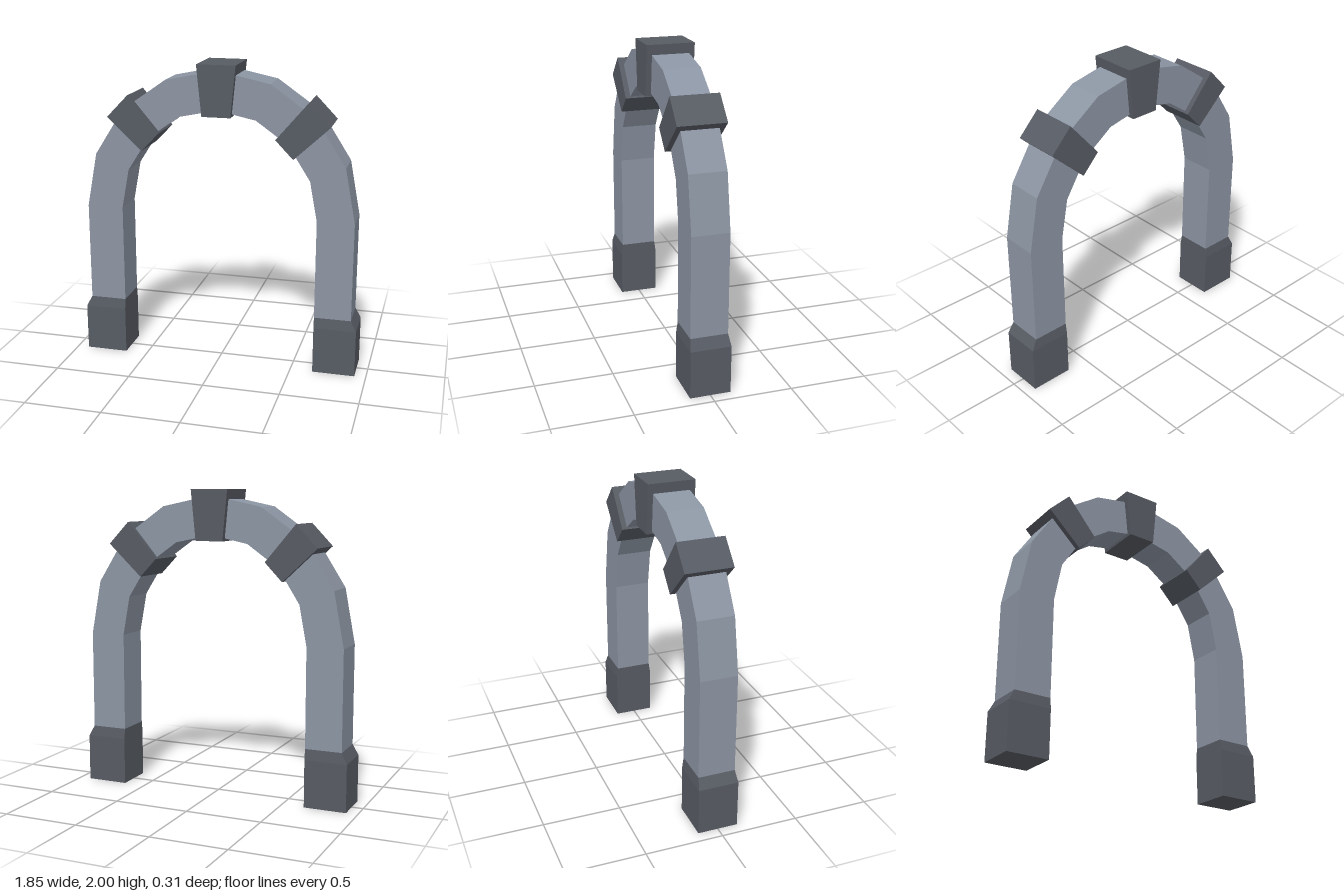
import * as THREE from 'three';

const stone = new THREE.MeshStandardMaterial({ color: 0x8c95a3, flatShading: true });
const darkStone = new THREE.MeshStandardMaterial({ color: 0x575b63, flatShading: true });

// Flat outline in x/y, extruded symmetrically about z = 0
function slab(name, points, halfDepth, material) {
  const shape = new THREE.Shape(points.map(([x, y]) => new THREE.Vector2(x, y)));
  const geometry = new THREE.ExtrudeGeometry(shape, { depth: halfDepth * 2, bevelEnabled: false });
  geometry.translate(0, 0, -halfDepth);
  const mesh = new THREE.Mesh(geometry, material);
  mesh.name = name;
  return mesh;
}

// Half ellipse in eight straight steps, from +x over the top to -x
function arc(rx, ry, springY) {
  return Array.from({ length: 9 }, (_, i) => {
    const a = (i / 8) * Math.PI;
    return [rx * Math.cos(a), springY + ry * Math.sin(a)];
  });
}

// Foot block: straight inner side, sloped shoulder on the outer, front and back sides
function foot(name, side) {
  const inner = 0.648, outer = 0.925, legOuter = 0.888;
  const geometry = new THREE.BoxGeometry(1, 2, 1, 1, 2, 1);
  const p = geometry.attributes.position;
  for (let i = 0; i < p.count; i++) {
    const level = Math.round(p.getY(i)) + 1;
    const top = level === 2;
    const isOuter = p.getX(i) * side > 0;
    p.setXYZ(i,
      side * (isOuter ? (top ? legOuter : outer) : inner),
      [0, 0.31, 0.38][level],
      Math.sign(p.getZ(i)) * (top ? 0.12 : 0.13));
  }
  geometry.computeVertexNormals();
  const mesh = new THREE.Mesh(geometry, darkStone);
  mesh.name = name;
  return mesh;
}

export function createModel() {
  const model = new THREE.Group();
  model.name = 'archway';

  // Legs and curved top in one piece
  const springY = 1.03, footTop = 0.38;
  model.add(slab('arch', [
    [0.888, footTop], ...arc(0.888, 0.93, springY), [-0.888, footTop],
    [-0.648, footTop], ...arc(0.648, 0.68, springY).reverse(), [0.648, footTop],
  ], 0.12, stone));

  // Tapered keystone at the crown
  model.add(slab('keystone',
    [[0.126, 2], [-0.126, 2], [-0.093, 1.672], [0.093, 1.672]], 0.155, darkStone));

  // Tapered side stones and feet
  for (const [label, s] of [['left', 1], ['right', -1]]) {
    const outline = [[0.582, 1.787], [0.38, 1.549], [0.495, 1.43], [0.722, 1.642]];
    model.add(slab(label + 'SideStone', outline.map(([x, y]) => [s * x, y]), 0.155, darkStone));
    model.add(foot(label + 'Foot', s));
  }
  return model;
}
